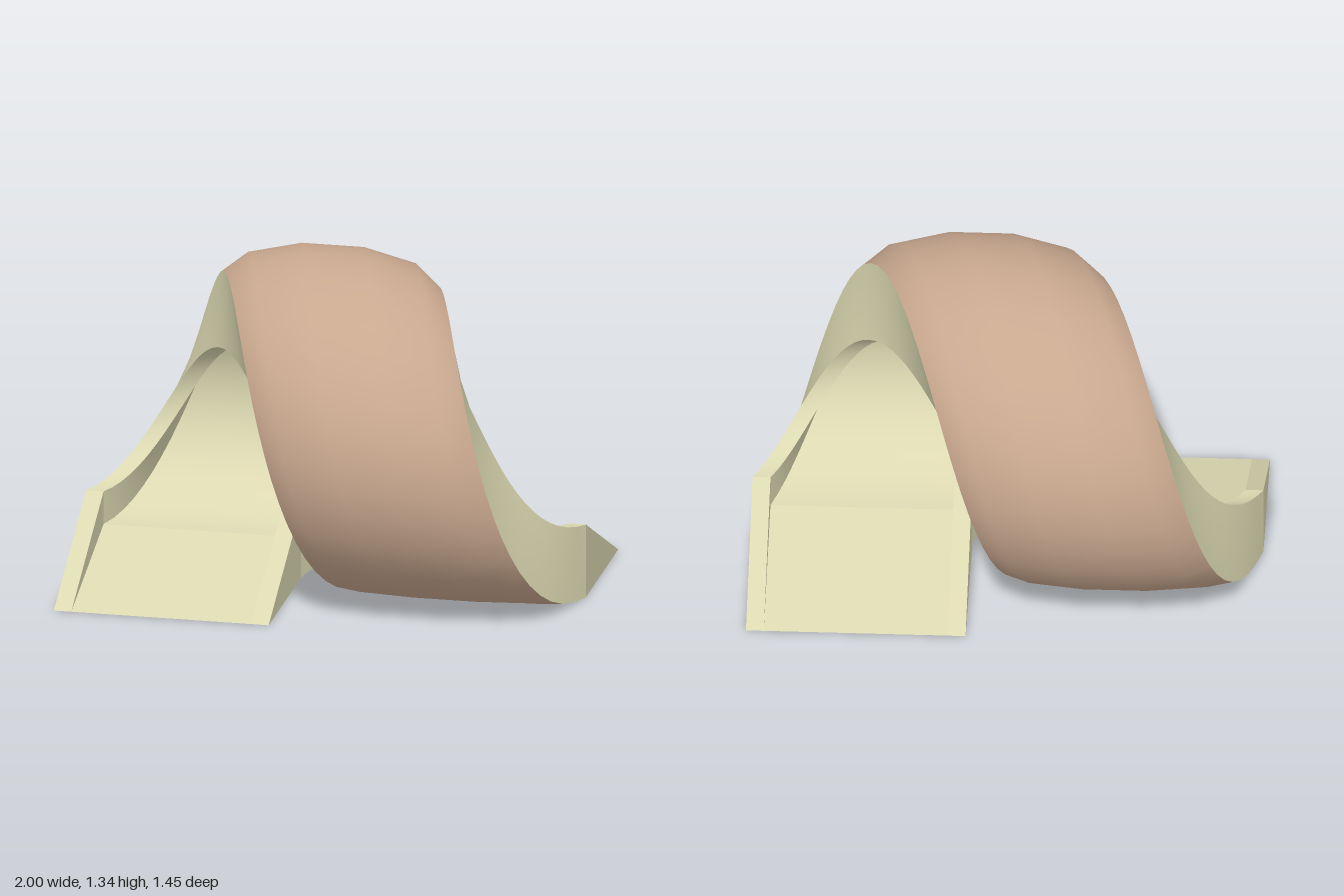
import * as THREE from 'three';

const R = 0.605;      // loop radius at the outer edge of the side walls
const HALF = 0.43;    // half width of the track
const WALL = 0.3;     // side wall height
const FLOOR = 0.165;  // channel floor height
const LIP = 0.36;     // half width of the channel
const STEPS = 40;

// Bulge of the outer shell: zero at both feet, full over the top
function bulge(t) {
  const a = Math.min(t, Math.PI * 2 - t);
  return 0.13 * THREE.MathUtils.smoothstep(a, 0, 1.85);
}

// Point on the spiral; h is the height inward, swell the share of the bulge
function spiralPoint(t, [x, h, swell = 0]) {
  const r = R - h + swell * bulge(t);
  const cx = -0.57 + 0.57 * t / Math.PI - 0.015 * Math.sin(t);
  return [cx + x, R - r * Math.cos(t), -r * Math.sin(t)];
}

// Point on a straight wedge foot that tapers to nothing
function footPoint(side, k, [x, h]) {
  return [side * 0.57 + x, h * (1 - k), -side * 0.6 * k];
}

// Skin a strip of the profile along a list of section functions
function loft(strip, sections) {
  const pos = [], idx = [], n = strip.length;
  sections.forEach((section, i) => {
    strip.forEach((p, j) => {
      pos.push(...section(p));
      if (i && j) {
        const a = (i - 1) * n + j - 1, b = a + 1;
        idx.push(a, a + n, b, a + n, b + n, b);
      }
    });
  });
  const g = new THREE.BufferGeometry();
  g.setAttribute('position', new THREE.Float32BufferAttribute(pos, 3));
  g.setIndex(idx);
  g.computeVertexNormals();
  return g;
}

export function createModel() {
  const model = new THREE.Group();
  model.name = 'spiralTrack';

  const cream = new THREE.MeshStandardMaterial({ color: 0xdbd8b1 });
  cream.name = 'cream';
  const brown = new THREE.MeshStandardMaterial({ color: 0xc9a88f });
  brown.name = 'warm brown';

  // Runs along the track: entry foot, spiral loop, exit foot
  const loop = [];
  for (let i = 0; i <= STEPS; i++) {
    const t = Math.PI * 2 * i / STEPS;
    loop.push(p => spiralPoint(t, p));
  }
  const runs = {
    entryFoot: [1, 0].map(k => p => footPoint(-1, k, p)),
    loop,
    exitFoot: [0, 1].map(k => p => footPoint(1, k, p)),
  };

  // Strips of the U-shaped cross-section, in order around it
  const strips = {
    outerShell: [[-HALF, 0], [-0.335, 0, 0.62], [-0.125, 0, 1],
      [0.125, 0, 1], [0.335, 0, 0.62], [HALF, 0]],
    leftOuterWall: [[HALF, 0], [HALF, WALL]],
    leftRim: [[HALF, WALL], [LIP, WALL]],
    leftInnerWall: [[LIP, WALL], [LIP, FLOOR]],
    channelFloor: [[LIP, FLOOR], [-LIP, FLOOR]],
    rightInnerWall: [[-LIP, FLOOR], [-LIP, WALL]],
    rightRim: [[-LIP, WALL], [-HALF, WALL]],
    rightOuterWall: [[-HALF, WALL], [-HALF, 0]],
  };

  for (const [runName, sections] of Object.entries(runs)) {
    const part = new THREE.Group();
    part.name = runName;
    for (const [name, strip] of Object.entries(strips)) {
      const mesh = new THREE.Mesh(loft(strip, sections), name === 'outerShell' ? brown : cream);
      mesh.name = name;
      part.add(mesh);
    }
    model.add(part);
  }
  return model;
}
